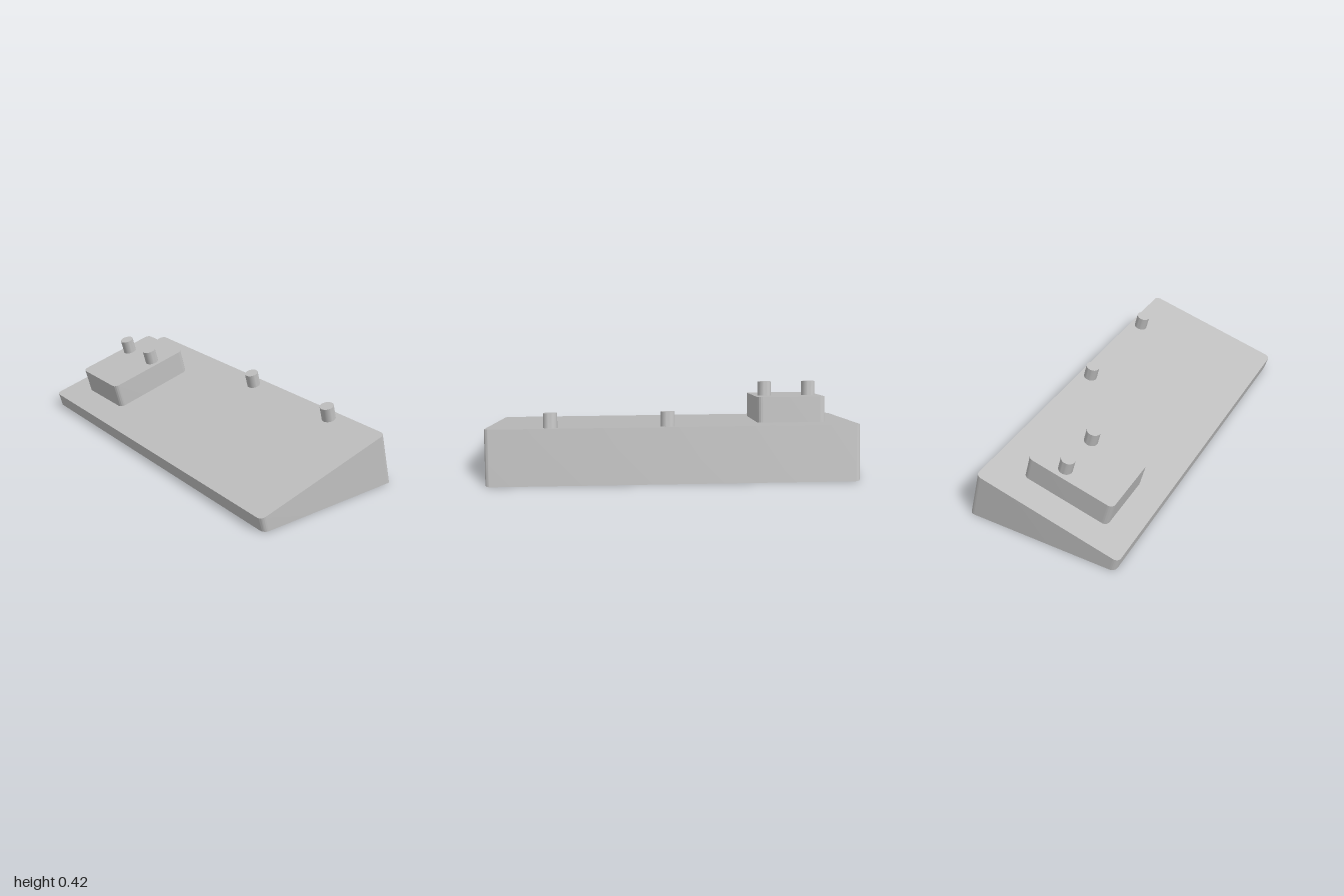
import * as THREE from 'three';
import { toCreasedNormals } from 'three/addons/utils/BufferGeometryUtils.js';

const TILT = THREE.MathUtils.degToRad(15);
const TOP = { x: -0.04, y: 0.1855 }; // middle of the sloping top face

// Upright block with rounded vertical corners, standing on y = 0
function roundedBlock(width, height, length, r) {
  const x = width / 2, y = length / 2, q = Math.PI / 2;
  const shape = new THREE.Shape();
  shape.absarc(x - r, y - r, r, 0, q);
  shape.absarc(-x + r, y - r, r, q, 2 * q);
  shape.absarc(-x + r, -y + r, r, 2 * q, 3 * q);
  shape.absarc(x - r, -y + r, r, 3 * q, 4 * q);
  shape.closePath();
  return new THREE.ExtrudeGeometry(shape, { depth: height, bevelEnabled: false, curveSegments: 8 })
    .rotateX(-Math.PI / 2);
}

export function createModel() {
  const grey = new THREE.MeshStandardMaterial({ color: 0xbfbfbf });
  grey.name = 'grey';

  const model = new THREE.Group();
  model.name = 'slopedPanel';

  // Everything is built square to the sloping face, then tilted
  const tilted = new THREE.Group();
  tilted.name = 'tiltedAssembly';
  tilted.position.set(TOP.x, TOP.y, 0);
  tilted.rotation.z = TILT;
  model.add(tilted);

  function add(name, geometry, x, y, z) {
    const mesh = new THREE.Mesh(toCreasedNormals(geometry, 0.6), grey);
    mesh.name = name;
    mesh.position.set(x, y, z);
    tilted.add(mesh);
  }

  // Wedge base: the underside is sheared to lie flat on the ground
  const wedge = roundedBlock(0.842, 1, 2, 0.03).translate(0, -1, 0);
  const p = wedge.attributes.position;
  for (let i = 0; i < p.count; i++) {
    if (p.getY(i) < -0.5) {
      p.setY(i, -(TOP.y + p.getX(i) * Math.sin(TILT)) / Math.cos(TILT));
    }
  }
  add('wedgeBase', wedge, 0, 0, 0);

  // Raised block near the back
  add('raisedBlock', roundedBlock(0.5, 0.141, 0.375, 0.03), -0.0155, 0, -0.66);

  // Round pegs, two on the block and two along the high edge of the base
  const peg = () => new THREE.CylinderGeometry(0.0377, 0.0377, 0.079, 32).translate(0, 0.0395, 0);
  for (const z of [-0.785, -0.535]) add('blockPeg', peg(), 0.047, 0.141, z);
  for (const z of [0.03, 0.655]) add('basePeg', peg(), 0.3585, 0, z);

  return model;
}
